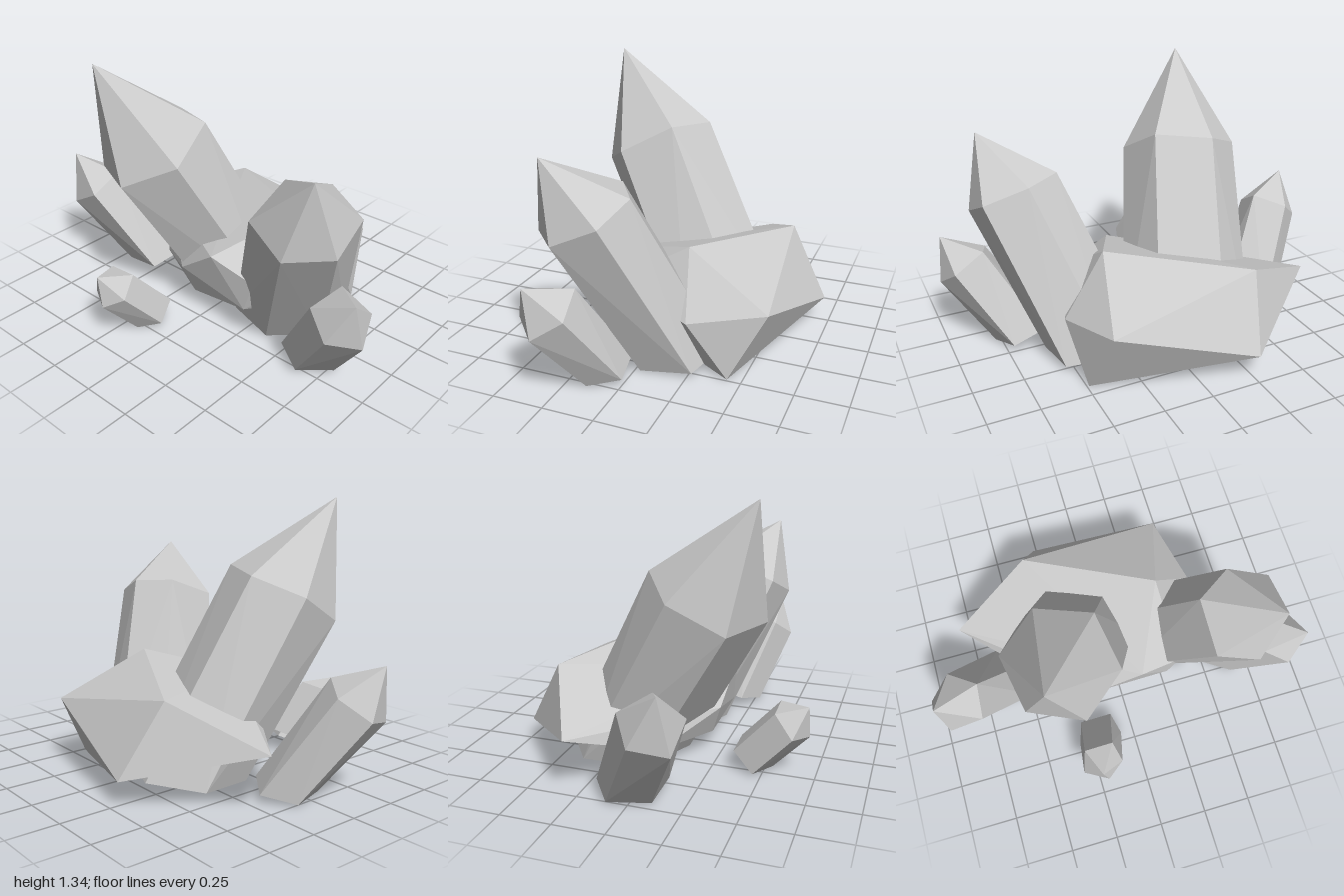
import * as THREE from 'three';
import { ConvexGeometry } from 'three/addons/geometries/ConvexGeometry.js';

const material = new THREE.MeshStandardMaterial({
  color: 0xcccccc, flatShading: true, side: THREE.DoubleSide,
});
const vec = (p) => new THREE.Vector3(...p);

// Convex faceted shell, left open underneath: facets whose normal points
// further down than the limit are dropped.
function openHull(name, points, isOpen) {
  const hull = new ConvexGeometry(points);
  const pos = hull.getAttribute('position');
  const kept = [];
  for (let i = 0; i < pos.count; i += 3) {
    const corners = [0, 1, 2].map((k) => new THREE.Vector3().fromBufferAttribute(pos, i + k));
    if (!isOpen(corners)) kept.push(...corners);
  }
  const geometry = new THREE.BufferGeometry().setFromPoints(kept);
  geometry.computeVertexNormals();
  const mesh = new THREE.Mesh(geometry, material);
  mesh.name = name;
  return mesh;
}

// Faceted shaft: a pointed tip over a shoulder ring, whose outline is
// carried down to a flattened, slightly wider copy around the base centre.
function crystal(name, { tip, ring, base, spread, flatten }) {
  const shoulder = ring.map(vec);
  const centre = shoulder
    .reduce((sum, p) => sum.add(p), new THREE.Vector3())
    .divideScalar(shoulder.length);
  const foot = shoulder.map((p) => {
    const q = p.clone().sub(centre).multiply(new THREE.Vector3(spread, flatten, spread));
    q.add(vec(base));
    q.y = Math.max(0, q.y);
    return q;
  });
  const atFoot = (corner) => foot.some((p) => p.distanceTo(corner) < 1e-4);
  return openHull(name, [vec(tip), ...shoulder, ...foot], (corners) => corners.every(atFoot));
}

const crystals = {
  tallCrystal: {
    tip: [-0.42, 1.34, 0.49],
    ring: [
      [-0.53, 0.75, 0.38], [-0.26, 0.76, 0.505], [-0.04, 0.87, 0.34],
      [-0.10, 1.01, 0.08], [-0.37, 0.985, -0.03], [-0.58, 0.89, 0.12],
    ],
    base: [-0.14, 0.025, -0.23], spread: 1.13, flatten: 0.2,
  },
  leftLargeCrystal: {
    tip: [0.75, 1.06, 0.35],
    ring: [
      [0.65, 0.68, 0.43], [0.83, 0.69, 0.27], [0.81, 0.79, 0.05],
      [0.60, 0.87, -0.01], [0.42, 0.88, 0.11], [0.43, 0.78, 0.38],
    ],
    base: [0.335, 0.025, -0.1], spread: 1.13, flatten: 0.25,
  },
  rightOuterCrystal: {
    tip: [-0.97, 0.63, 0.22],
    ring: [
      [-0.94, 0.36, 0.27], [-0.76, 0.46, 0.28], [-0.74, 0.55, 0.12],
      [-0.88, 0.50, 0.01], [-1.0, 0.40, 0.10],
    ],
    base: [-0.61, 0.025, -0.035], spread: 1.15, flatten: 0.3,
  },
  leftOuterCrystal: {
    tip: [0.975, 0.55, 0.33],
    ring: [
      [0.88, 0.36, 0.41], [1.0, 0.32, 0.29], [0.95, 0.41, 0.15],
      [0.80, 0.50, 0.17], [0.75, 0.45, 0.34],
    ],
    base: [0.64, 0.035, 0.13], spread: 1.1, flatten: 0.45,
  },
  smallFrontCrystal: {
    tip: [-0.24, 0.36, 0.71],
    ring: [
      [-0.33, 0.22, 0.65], [-0.21, 0.20, 0.715], [-0.12, 0.25, 0.65],
      [-0.15, 0.34, 0.56], [-0.30, 0.33, 0.56],
    ],
    base: [-0.185, 0.05, 0.435], spread: 1.13, flatten: 0.85,
  },
};

// Irregular block that the crystals grow out of
const rockCorners = [
  // back and sides
  [-0.27, 0.12, -0.72], [0.43, 0.33, -0.60], [-0.35, 0.47, -0.52],
  [-0.79, 0.285, -0.29], [0.30, 0.55, -0.17], [0.49, 0, -0.43], [0.53, 0.27, -0.24],
  // front
  [0.10, 0.41, 0.27], [0.33, 0.32, 0.22], [0.27, 0.15, 0.22],
  [-0.08, 0.10, 0.20], [-0.12, 0.25, 0.25], [-0.43, 0.13, 0.04],
];

// True for the nearly level facets under the rock
function facesDown([a, b, c]) {
  return new THREE.Triangle(a, b, c).getNormal(new THREE.Vector3()).y < -0.945;
}

export function createModel() {
  const group = new THREE.Group();
  group.name = 'crystalCluster';
  group.add(openHull('baseRock', rockCorners.map(vec), facesDown));
  for (const [name, shape] of Object.entries(crystals)) group.add(crystal(name, shape));
  return group;
}
